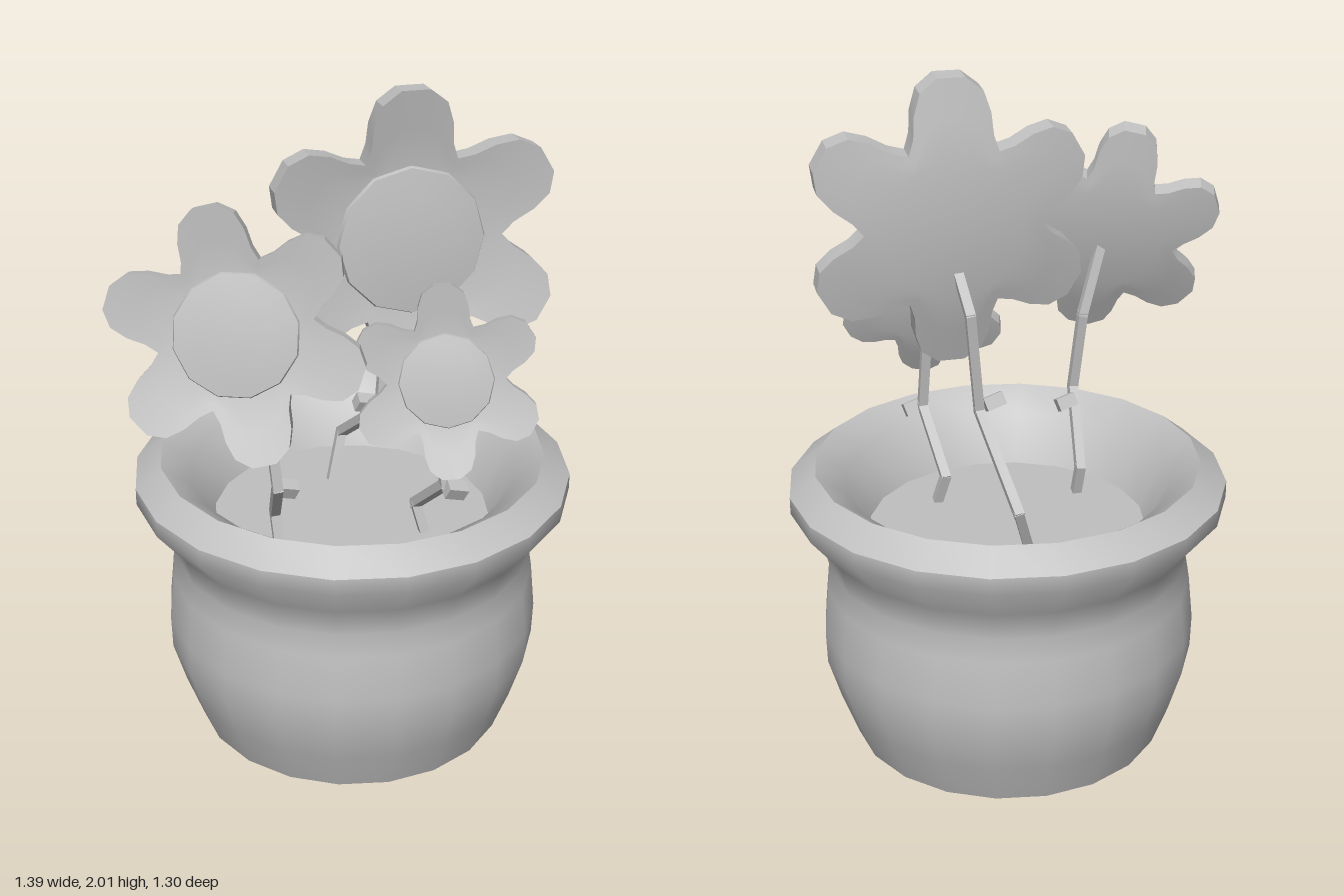
import * as THREE from 'three';
import { toCreasedNormals } from 'three/addons/utils/BufferGeometryUtils.js';

const clay = new THREE.MeshStandardMaterial({ color: 0xc0c0c0 });
clay.name = 'clay grey';

function mesh(geometry, name) {
  const m = new THREE.Mesh(geometry, clay);
  m.name = name;
  return m;
}

// Pot with flared rim, recessed soil floor and flat base
function createPot() {
  const profile = [
    [0, 0], [0.474, 0], [0.522, 0.13], [0.561, 0.26], [0.564, 0.36], [0.55, 0.5],
    [0.538, 0.57], [0.56, 0.66], [0.649, 0.77], [0.649, 0.82], [0.572, 0.88],
    [0.486, 0.82], [0.414, 0.67], [0, 0.67],
  ].map(([r, y]) => new THREE.Vector2(r, y));
  const pot = mesh(toCreasedNormals(new THREE.LatheGeometry(profile, 20), 0.75), 'pot');
  pot.position.x = 0.025;
  return pot;
}

// Half a petal outline: [angle in degrees from the petal axis, share of full radius]
const HALF = [[5.3, 1], [13, 0.93], [18.3, 0.81], [23, 0.68]];

// Six-petalled plate whose petals curve forward
function petalGeometry(R) {
  const outline = [];
  for (let k = 0; k < 6; k++) {
    const add = (deg, r) => outline.push([THREE.MathUtils.degToRad(90 + 60 * k + deg), r * R]);
    add(-30, 0.6);
    [...HALF].reverse().forEach(([d, r]) => add(-d, r));
    HALF.forEach(([d, r]) => add(d, r));
  }
  const n = outline.length, thick = 0.17 * R, inner = 0.48 * R;
  const positions = [], index = [];
  const lift = (r) => 0.13 * R * Math.max(0, (r - inner) / (R - inner));

  // Centre point and three rings for the back, then the same for the front
  for (const z of [0, thick]) {
    positions.push(0, 0, z);
    for (const t of [0, 0.5, 1]) {
      for (const [a, edge] of outline) {
        const r = inner + (edge - inner) * t;
        positions.push(r * Math.cos(a), r * Math.sin(a), z + lift(r));
      }
    }
  }
  const front = 1 + 3 * n;
  for (let i = 0; i < n; i++) {
    const j = (i + 1) % n;
    for (const [base, isFront] of [[0, false], [front, true]]) {
      const tri = (a, b, c) => (isFront ? index.push(a, b, c) : index.push(a, c, b));
      tri(base, base + 1 + i, base + 1 + j);
      for (let ring = 0; ring < 2; ring++) {
        const p = base + 1 + ring * n, q = p + n;
        tri(p + i, q + i, q + j);
        tri(p + i, q + j, p + j);
      }
    }
    // Outer edge
    const b = 1 + 2 * n, f = front + b;
    index.push(b + i, b + j, f + j, b + i, f + j, f + i);
  }
  const g = new THREE.BufferGeometry();
  g.setAttribute('position', new THREE.Float32BufferAttribute(positions, 3));
  g.setIndex(index);
  return toCreasedNormals(g, 0.5);
}

function createBlossom({ radius: R, centre, normal, roll }) {
  const blossom = new THREE.Group();
  blossom.name = 'blossom';
  blossom.add(mesh(petalGeometry(R), 'petals'));

  // Shallow domed flower centre
  const dome = [[0.5, -0.02], [0.48, 0.025], [0.3, 0.045], [0, 0.055]]
    .map(([r, y]) => new THREE.Vector2(r * R, y * R));
  const centreDisc = mesh(toCreasedNormals(new THREE.LatheGeometry(dome, 12), 0.6), 'flowerCentre');
  centreDisc.rotation.x = Math.PI / 2;
  centreDisc.position.z = 0.17 * R;
  blossom.add(centreDisc);

  blossom.position.set(...centre);
  blossom.quaternion.setFromUnitVectors(
    new THREE.Vector3(0, 0, 1), new THREE.Vector3(...normal).normalize());
  blossom.rotateZ(roll);
  return blossom;
}

// Kinked stem made of straight square rods
function createStem(points) {
  const stem = new THREE.Group();
  stem.name = 'stem';
  const up = new THREE.Vector3(0, 1, 0);
  for (let i = 0; i < points.length - 1; i++) {
    const a = new THREE.Vector3(...points[i]), b = new THREE.Vector3(...points[i + 1]);
    const dir = b.clone().sub(a), length = dir.length();
    const rod = mesh(new THREE.BoxGeometry(0.028, length + 0.016, 0.028), 'stemSection');
    rod.position.copy(a).add(b).multiplyScalar(0.5);
    rod.quaternion.setFromUnitVectors(up, dir.normalize());
    stem.add(rod);
  }
  return stem;
}

const FLOWERS = [
  {
    name: 'tallFlower', radius: 0.43, centre: [0.16, 1.57, 0.055], normal: [0, 0.075, 1], roll: 0,
    stem: [[0.01, 0.68, -0.19], [0.05, 0.81, -0.24], [0.1, 1.02, 0.04], [0.13, 1.33, 0.01], [0.15, 1.44, 0.08]],
    leaf: [0.055, 1.045, 0.04],
  },
  {
    name: 'rightFlower', radius: 0.35, centre: [-0.36, 1.43, 0.305], normal: [-0.297, 0.266, 1], roll: 0.2,
    stem: [[-0.23, 0.68, 0.14], [-0.235, 0.76, 0.12], [-0.265, 0.95, 0.32], [-0.285, 1.2, 0.29], [-0.35, 1.4, 0.33]],
    leaf: [-0.23, 0.92, 0.27],
  },
  {
    name: 'smallFlower', radius: 0.268, centre: [0.205, 1.25, 0.345], normal: [-0.26, 0.28, 1], roll: 0.03,
    stem: [[0.2, 0.68, 0.18], [0.18, 0.76, 0.16], [0.21, 0.92, 0.35], [0.2, 1.12, 0.325], [0.2, 1.24, 0.365]],
    leaf: [0.235, 0.91, 0.37],
  },
];

export function createModel() {
  const model = new THREE.Group();
  model.name = 'pottedFlowers';
  model.add(createPot());
  for (const spec of FLOWERS) {
    const flower = new THREE.Group();
    flower.name = spec.name;
    flower.add(createBlossom(spec), createStem(spec.stem));
    // Small leaf stub beside the lower bend
    const leaf = mesh(new THREE.BoxGeometry(0.06, 0.04, 0.04), 'leafStub');
    leaf.position.set(...spec.leaf);
    leaf.rotation.set(0.4, 0, -0.3);
    flower.add(leaf);
    model.add(flower);
  }
  return model;
}
